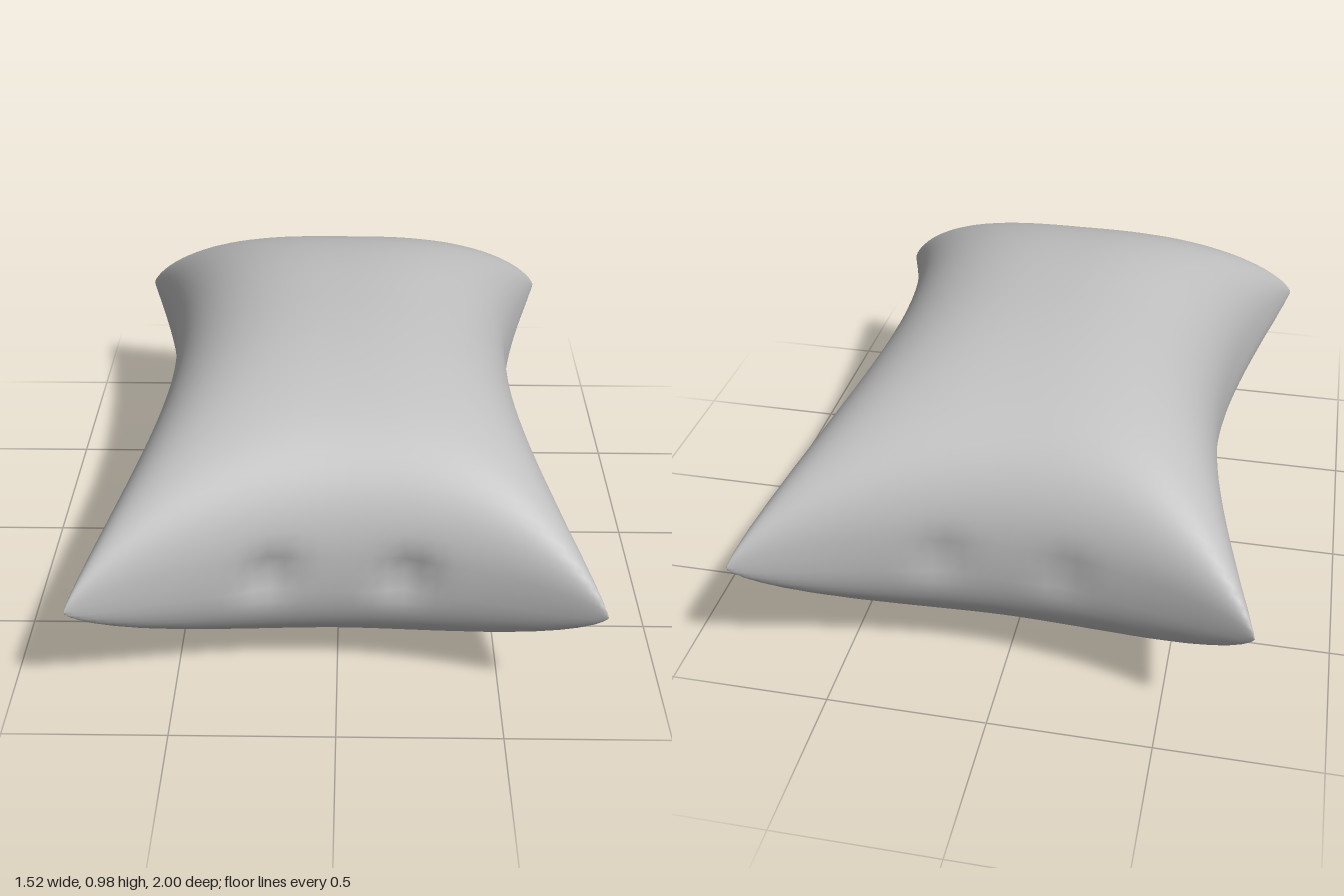
import * as THREE from 'three';
import { mergeGeometries, mergeVertices } from 'three/addons/utils/BufferGeometryUtils.js';

const SEAM_Y = 0.48;
const SEGMENTS = 48;

// Plump cross-section: 1 at the middle, 0 at the seam
const bulge = (t) => Math.pow(Math.max(0, 1 - Math.pow(Math.abs(t), 2.5)), 0.4);

// Small puckers along the seam: position, inward push, radius
const puckers = [
  { x: 0.2, z: 0.83, dx: 0, dz: -0.045, r: 0.07 },
  { x: -0.2, z: 0.83, dx: 0, dz: -0.045, r: 0.07 },
  { x: 0.17, z: -0.83, dx: 0, dz: 0.025, r: 0.07 },
  { x: -0.2, z: -0.83, dx: 0, dz: 0.02, r: 0.07 },
  { x: 0.58, z: -0.2, dx: -0.03, dz: 0, r: 0.1 },
];

// One half of the cover: side is 1 for the top, -1 for the bottom
function coverHalf(side, height) {
  const geo = new THREE.PlaneGeometry(2, 2, SEGMENTS, SEGMENTS);
  geo.rotateX((-side * Math.PI) / 2);
  const pos = geo.attributes.position;
  for (let i = 0; i < pos.count; i++) {
    // Closer spacing towards the seam, where the cloth turns steeply
    const u = Math.sin((pos.getX(i) * Math.PI) / 2);
    const v = Math.sin((pos.getZ(i) * Math.PI) / 2);
    // Sides curve inward between the four pulled-out corners
    let x = u * (0.573 + 0.187 * v * v);
    let z = v * (0.83 + 0.17 * u * u);
    const y = side * height * bulge(u) * bulge(v);
    for (const p of puckers) {
      const d2 = (x - p.x) ** 2 + (z - p.z) ** 2 + y * y;
      const w = Math.exp(-d2 / (p.r * p.r));
      x += p.dx * w;
      z += p.dz * w;
    }
    pos.setXYZ(i, x, SEAM_Y + y, z);
  }
  geo.deleteAttribute('uv');
  geo.deleteAttribute('normal');
  return geo;
}

export function createModel() {
  const cloth = new THREE.MeshStandardMaterial({ color: 0xc0c0c0 });
  cloth.name = 'grey cloth';

  // Top and bottom are welded at the seam for one smooth surface
  const geo = mergeVertices(mergeGeometries([coverHalf(1, 0.503), coverHalf(-1, 0.477)]), 1e-4);
  geo.computeVertexNormals();

  const cushion = new THREE.Mesh(geo, cloth);
  cushion.name = 'cushion';

  const group = new THREE.Group();
  group.name = 'pillow';
  group.add(cushion);
  return group;
}
